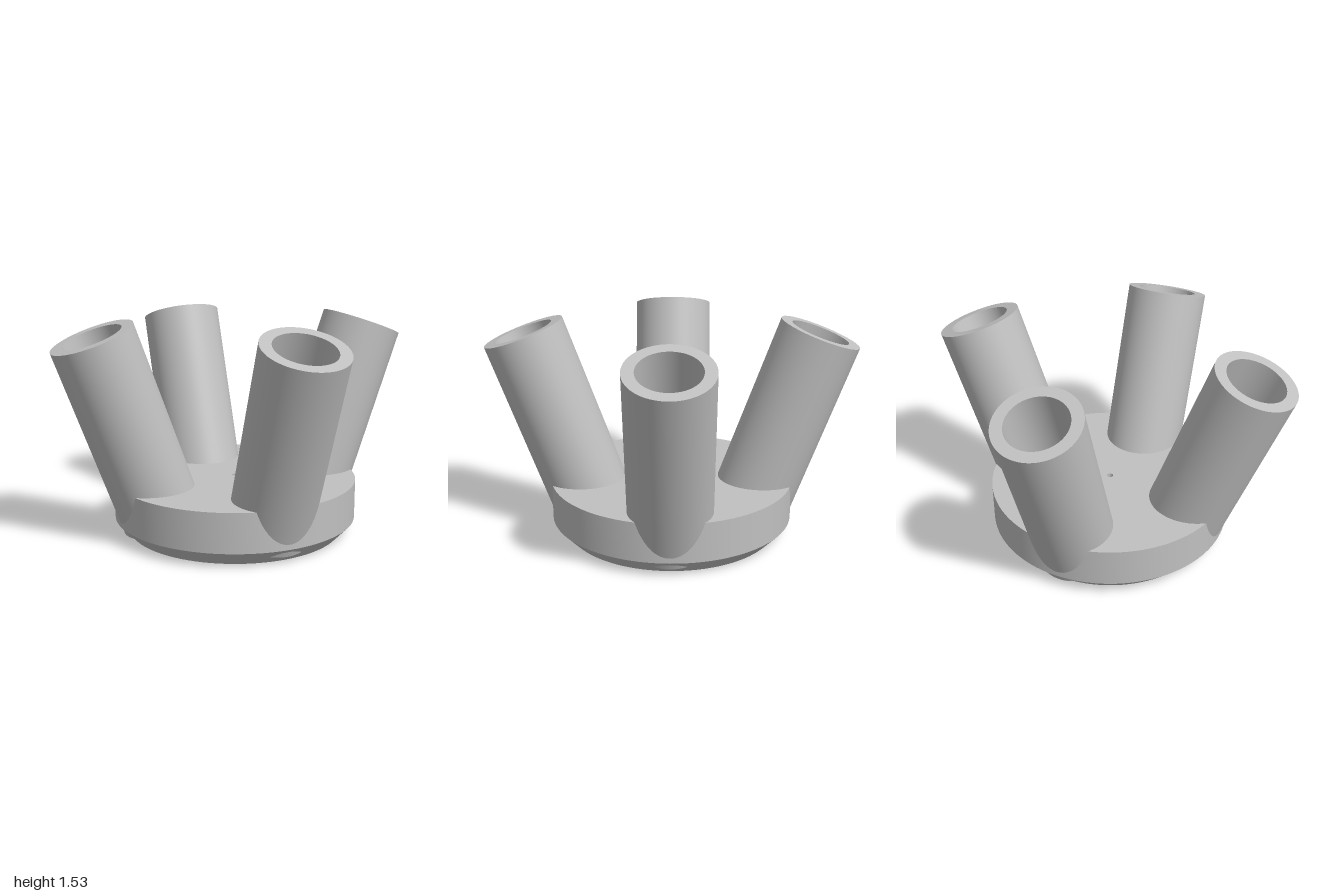
import * as THREE from 'three';
import { toCreasedNormals } from 'three/addons/utils/BufferGeometryUtils.js';

const TILT = THREE.MathUtils.degToRad(20);

// Closed ring profile, revolved about y, with sharp edges
function turned(profile, segments) {
  const points = [...profile, profile[0]].map(([r, y]) => new THREE.Vector2(r, y));
  return toCreasedNormals(new THREE.LatheGeometry(points, segments), 0.5);
}

export function createModel() {
  const model = new THREE.Group();
  model.name = 'fourTubeHolder';
  const grey = new THREE.MeshStandardMaterial({ color: 0xc0c0c0 });
  grey.name = 'grey';

  // Round base with a bevelled foot and a small centre hole
  const base = new THREE.Mesh(
    turned([[0.022, 0], [0.757, 0], [0.857, 0.105], [0.857, 0.38], [0.022, 0.38]], 128), grey);
  base.name = 'base';
  model.add(base);

  // Four hollow tubes leaning outward on the diagonals
  const length = 1.37, outer = 0.287, inner = 0.207;
  const tubeGeometry = turned([[inner, 0], [outer, 0], [outer, length], [inner, length]], 96);
  const topRadius = 0.722 * Math.SQRT2, topHeight = 1.431;
  const names = ['frontLeft', 'backLeft', 'backRight', 'frontRight'];
  names.forEach((name, i) => {
    const holder = new THREE.Group();
    holder.name = name + 'Tube';
    holder.rotation.y = -Math.PI / 4 + i * Math.PI / 2;
    const tube = new THREE.Mesh(tubeGeometry, grey);
    tube.name = name + 'TubeWall';
    tube.rotation.z = -TILT;
    tube.position.set(topRadius - length * Math.sin(TILT), topHeight - length * Math.cos(TILT), 0);
    holder.add(tube);
    model.add(holder);
  });
  return model;
}
